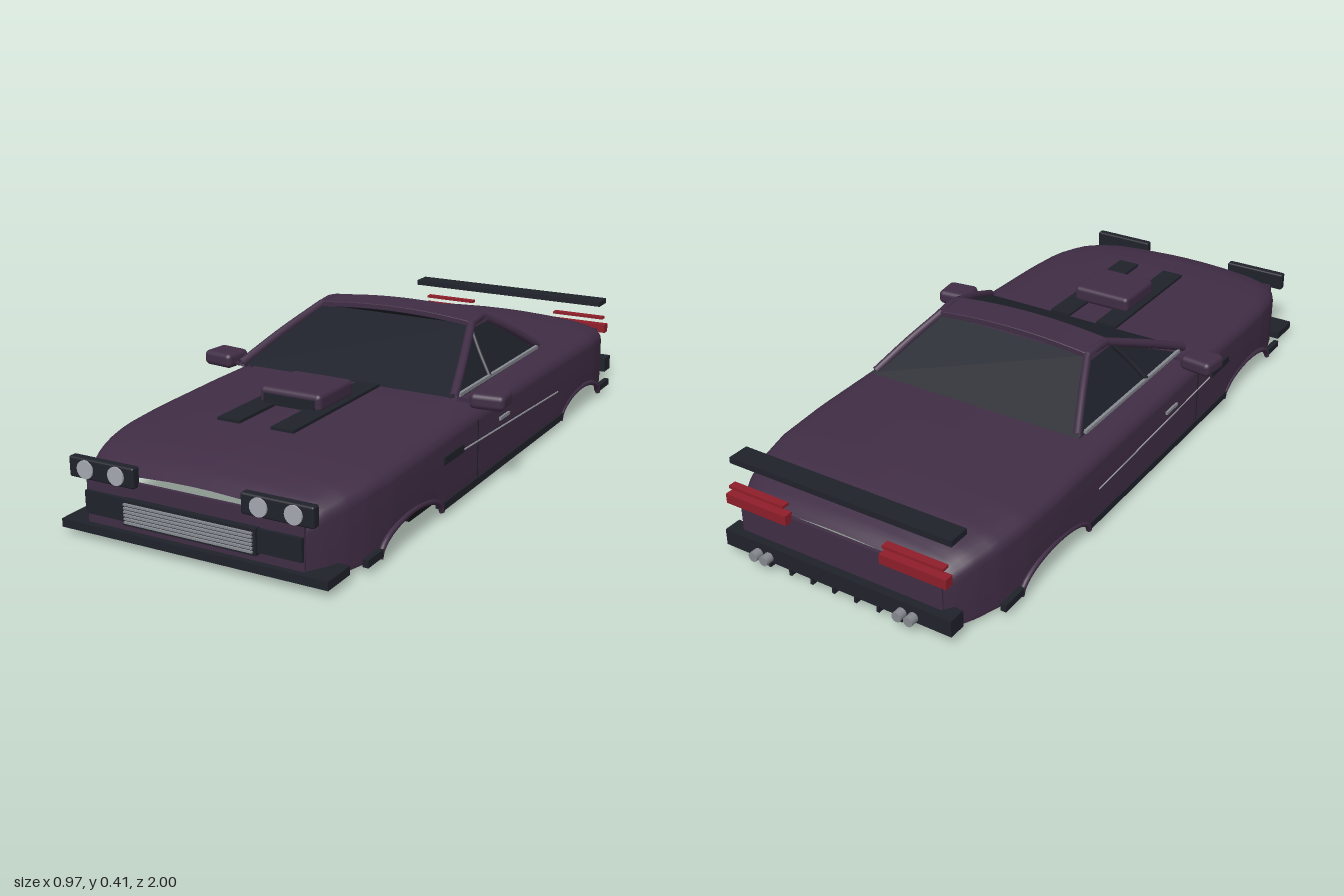
import * as THREE from 'three';
import { RoundedBoxGeometry } from 'three/addons/geometries/RoundedBoxGeometry.js';

const mat = (name, color, double = false) => {
  const m = new THREE.MeshStandardMaterial({ color });
  m.name = name;
  if (double) m.side = THREE.DoubleSide;
  return m;
};

// Smooth lookup in a short [z, value] profile
function profile(points) {
  return (z) => {
    let i = 0;
    while (i < points.length - 2 && z > points[i + 1][0]) i++;
    const [z0, v0] = points[i], [z1, v1] = points[i + 1];
    return THREE.MathUtils.lerp(v0, v1, THREE.MathUtils.clamp((z - z0) / (z1 - z0), 0, 1));
  };
}

export function createModel() {
  const car = new THREE.Group();
  car.name = 'car';
  const paint = mat('plumPaint', 0x402d45, true);
  const trim = mat('darkTrim', 0x20222b);
  const glass = mat('tintedGlass', 0x1e212a, true);
  const under = mat('underbodyBlack', 0x141417);
  const red = mat('tailRed', 0x8e1e29);
  const lamp = mat('lampGrey', 0xa4a7ae);
  const metal = mat('metalGrey', 0x85898f);

  const add = (name, geo, material, x = 0, y = 0, z = 0) => {
    const m = new THREE.Mesh(geo, material);
    m.name = name;
    m.position.set(x, y, z);
    car.add(m);
    return m;
  };
  // Box given by its minimum and maximum on each axis
  const box = (name, material, x0, x1, y0, y1, z0, z1) =>
    add(name, new THREE.BoxGeometry(x1 - x0, y1 - y0, z1 - z0), material,
      (x0 + x1) / 2, (y0 + y1) / 2, (z0 + z1) / 2);
  const sideBox = (name, material, s, x0, x1, ...rest) =>
    box(name, material, Math.min(s * x0, s * x1), Math.max(s * x0, s * x1), ...rest);
  const rounded = (name, material, w, h, d, r, x, y, z) =>
    add(name, new RoundedBoxGeometry(w, h, d, 3, r), material, x, y, z);
  const rod = (name, material, pts, r) =>
    add(name, new THREE.TubeGeometry(new THREE.CatmullRomCurve3(pts.map((p) => new THREE.Vector3(...p))),
      20, r, 10), material);
  // Flat pane from four corners
  const pane = (name, pts) => {
    const g = new THREE.BufferGeometry();
    g.setAttribute('position', new THREE.Float32BufferAttribute(pts.flat(), 3));
    g.setIndex([0, 1, 2, 0, 2, 3]);
    g.computeVertexNormals();
    return add(name, g, glass);
  };

  // Body shell: cross-sections swept along z, open underneath
  const width = profile([[-0.95, 0.315], [-0.92, 0.335], [-0.87, 0.36], [-0.8, 0.383], [-0.7, 0.4], [-0.55, 0.407],
    [0, 0.407], [0.55, 0.407], [0.7, 0.402], [0.8, 0.388], [0.87, 0.368], [0.93, 0.34], [0.97, 0.315]]);
  const top = profile([[-0.95, 0.185], [-0.92, 0.205], [-0.87, 0.223], [-0.8, 0.238], [-0.7, 0.25], [-0.5, 0.257],
    [-0.2, 0.262], [0.3, 0.262], [0.6, 0.256], [0.75, 0.249], [0.85, 0.236], [0.92, 0.218], [0.97, 0.195]]);
  const arches = [0.6, -0.57];
  const bottom = (z) => Math.max(0.013, ...arches.map((c) => {
    const t = (z - c) / 0.165;
    return Math.abs(t) < 1 ? 0.013 + 0.062 * Math.sqrt(1 - t * t) : 0;
  }));
  // Half section as [fraction of width, drop below the crown]
  const half = [[1, 0.065], [0.99, 0.05], [0.965, 0.038], [0.92, 0.029], [0.85, 0.021],
    [0.7, 0.012], [0.45, 0.005], [0.2, 0.001], [0, 0]];
  const rows = 128, pos = [], idx = [];
  let cols = 0;
  for (let i = 0; i <= rows; i++) {
    const z = -0.95 + (1.92 * i) / rows;
    const w = width(z), t = top(z), b = bottom(z), s = t - 0.065;
    const right = [[w * 0.995, b], [w, b + 0.012], [w, (b + s) / 2],
      ...half.map(([f, d]) => [w * f, t - d])];
    const ring = [...right, ...right.slice(0, -1).reverse().map(([x, y]) => [-x, y])];
    cols = ring.length;
    ring.forEach(([x, y]) => pos.push(x, y, z));
  }
  for (let i = 0; i < rows; i++) {
    for (let j = 0; j < cols - 1; j++) {
      const a = i * cols + j, c = a + cols;
      idx.push(a, a + 1, c, a + 1, c + 1, c);
    }
  }
  const shell = new THREE.BufferGeometry();
  shell.setAttribute('position', new THREE.Float32BufferAttribute(pos, 3));
  shell.setIndex(idx);
  shell.computeVertexNormals();
  add('bodyShell', shell, paint);
  box('frontPanel', paint, -0.317, 0.317, 0.02, 0.173, 0.962, 0.972);
  box('rearPanel', paint, -0.317, 0.317, 0.02, 0.173, -0.952, -0.942);
  box('floorPlate', under, -0.345, 0.345, 0, 0.02, -0.475, 0.505);

  // Cabin: glass, pillars and arched roof
  pane('windshield', [[-0.345, 0.262, 0.245], [0.345, 0.262, 0.245], [0.25, 0.386, -0.055], [-0.25, 0.386, -0.055]]);
  pane('rearWindow', [[0.345, 0.26, -0.365], [-0.345, 0.26, -0.365], [-0.245, 0.386, -0.155], [0.245, 0.386, -0.155]]);
  const roofShape = new THREE.Shape();
  roofShape.moveTo(-0.26, 0.38);
  roofShape.quadraticCurveTo(0, 0.412, 0.26, 0.38);
  roofShape.lineTo(0.255, 0.393);
  roofShape.quadraticCurveTo(0, 0.426, -0.255, 0.393);
  add('roof', new THREE.ExtrudeGeometry(roofShape, { depth: 0.1, bevelEnabled: true, bevelSize: 0.002,
    bevelThickness: 0.006, bevelSegments: 2, curveSegments: 24 }), paint, 0, 0, -0.155);

  // Front fascia
  box('frontSplitter', trim, -0.39, 0.39, 0.02, 0.043, 0.89, 0.99);
  box('grilleFrame', trim, -0.195, 0.195, 0.064, 0.132, 0.968, 0.99);
  for (let i = 0; i < 6; i++) {
    const y = 0.074 + i * 0.0095;
    box('grilleBar', metal, -0.187, 0.187, y - 0.0025, y + 0.0025, 0.988, 0.996);
  }

  // Hood scoop
  rounded('hoodScoop', paint, 0.19, 0.05, 0.175, 0.014, 0, 0.285, 0.44);
  box('scoopMouth', trim, -0.078, 0.078, 0.264, 0.294, 0.522, 0.531);

  // Rear end
  box('rearSpoiler', trim, -0.345, 0.345, 0.266, 0.283, -0.945, -0.882);
  box('rearBumper', trim, -0.358, 0.358, 0.028, 0.075, -0.976, -0.925);
  for (let i = 0; i < 7; i++) {
    const x = -0.21 + i * 0.07;
    box('diffuserFin', trim, x - 0.004, x + 0.004, 0.015, 0.035, -0.98, -0.91);
  }

  for (const s of [1, -1]) {
    // Pillars and side glass
    rod('frontPillar', paint, [[s * 0.343, 0.264, 0.245], [s * 0.298, 0.33, 0.09], [s * 0.25, 0.388, -0.06]], 0.013);
    rod('rearPillar', paint, [[s * 0.335, 0.264, -0.355], [s * 0.288, 0.332, -0.25], [s * 0.245, 0.388, -0.15]], 0.012);
    rod('roofRail', paint, [[s * 0.25, 0.388, -0.06], [s * 0.25, 0.392, -0.105], [s * 0.245, 0.388, -0.15]], 0.012);
    rod('middlePillar', trim, [[s * 0.343, 0.264, 0.015], [s * 0.3, 0.322, -0.01], [s * 0.255, 0.382, -0.045]], 0.008);
    pane('sideGlass', [[s * 0.342, 0.25, 0.23], [s * 0.25, 0.386, -0.06], [s * 0.245, 0.386, -0.15], [s * 0.338, 0.25, -0.35]]);
    sideBox('beltChrome', metal, s, 0.34, 0.349, 0.258, 0.268, -0.33, 0.215);

    // Mirrors
    rounded('mirror', paint, 0.1, 0.044, 0.09, 0.015, s * 0.43, 0.26, 0.195).rotation.y = s * 0.12;
    sideBox('mirrorArm', paint, s, 0.33, 0.4, 0.245, 0.257, 0.19, 0.215);

    // Headlights and intakes
    rounded('headlightHousing', trim, 0.2, 0.055, 0.026, 0.006, s * 0.255, 0.19, 0.977);
    for (const x of [0.207, 0.302]) {
      add('headlamp', new THREE.CylinderGeometry(0.024, 0.024, 0.008, 24), lamp, s * x, 0.19, 0.991).rotation.x = Math.PI / 2;
    }
    sideBox('frontIntake', trim, s, 0.195, 0.316, 0.07, 0.13, 0.965, 0.982);

    // Hood stripes
    sideBox('hoodStripe', trim, s, 0.047, 0.115, 0.26, 0.268, 0.245, 0.69);

    // Side details
    sideBox('sideVent', trim, s, 0.4, 0.412, 0.144, 0.166, 0.32, 0.435);
    sideBox('doorSeam', trim, s, 0.4, 0.4085, 0.03, 0.205, 0.223, 0.227);
    sideBox('doorHandle', metal, s, 0.4, 0.413, 0.162, 0.171, 0.02, 0.085);
    const stripe = sideBox('pinstripe', lamp, s, 0.403, 0.409, 0.133, 0.137, -0.36, 0.31);
    stripe.rotation.x = -0.04;
    sideBox('sideSkirt', trim, s, 0.385, 0.411, 0.02, 0.04, -0.405, 0.435);
    sideBox('frontCornerSkirt', trim, s, 0.395, 0.411, 0.02, 0.04, 0.765, 0.84);
    sideBox('rearCornerSkirt', trim, s, 0.395, 0.411, 0.02, 0.04, -0.82, -0.735);

    // Wheel arch lips
    for (const c of arches) {
      const pts = [];
      for (let i = 0; i <= 12; i++) {
        const a = (Math.PI * i) / 12;
        pts.push([s * 0.403, 0.014 + 0.064 * Math.sin(a), c + 0.168 * Math.cos(a)]);
      }
      rod('wheelArchLip', paint, pts, 0.008);
    }

    // Tail lights and exhausts
    sideBox('tailLight', red, s, 0.147, 0.345, 0.16, 0.188, -0.972, -0.945);
    sideBox('tailLightStrip', red, s, 0.155, 0.335, 0.206, 0.214, -0.968, -0.945);
    for (const x of [0.212, 0.247]) {
      add('exhaustPipe', new THREE.CylinderGeometry(0.014, 0.014, 0.06, 16), metal, s * x, 0.043, -0.97).rotation.x = Math.PI / 2;
    }
  }
  return car;
}
